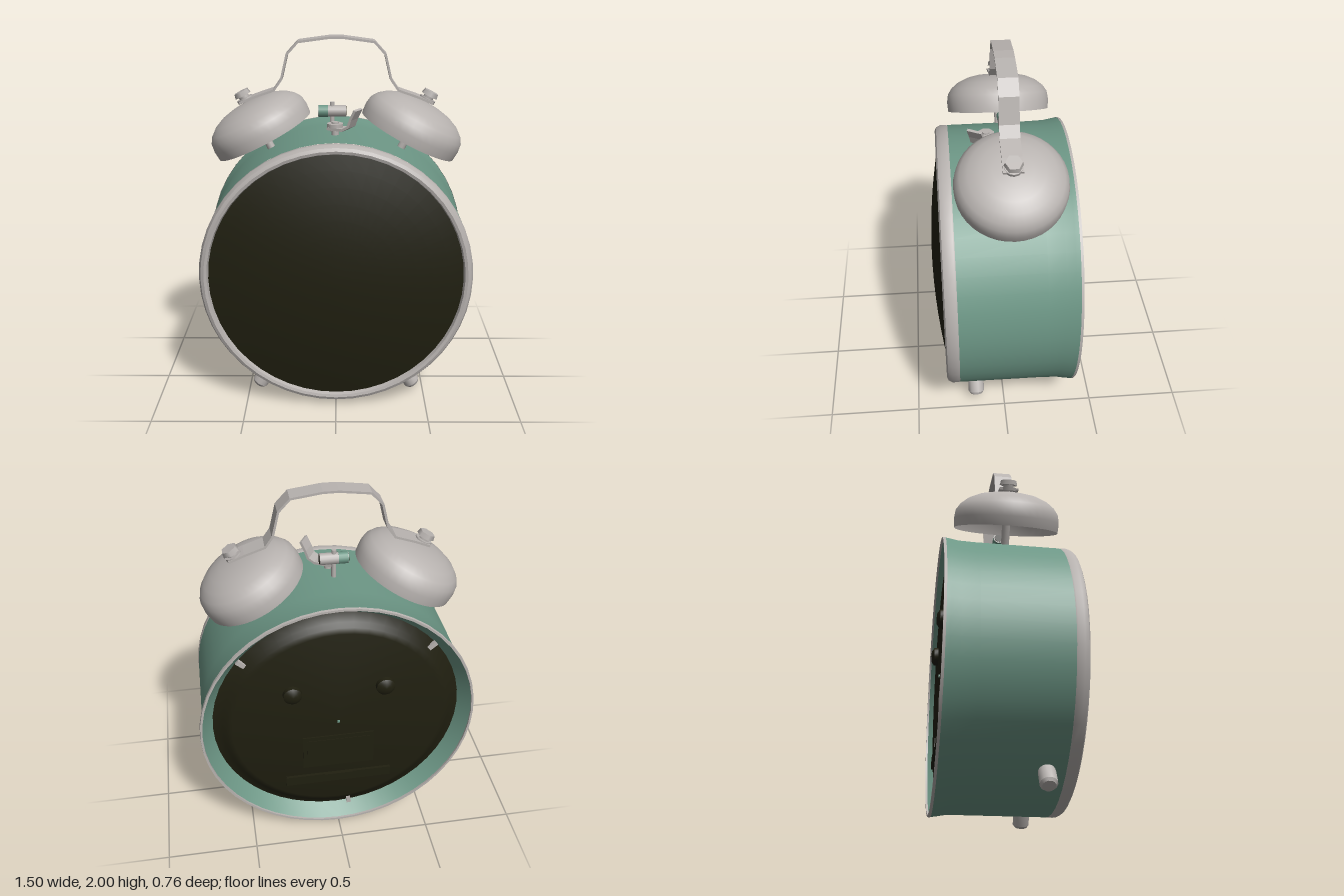
import * as THREE from 'three';
import { toCreasedNormals } from 'three/addons/utils/BufferGeometryUtils.js';

const CY = 0.757; // height of the clock's axis
const BELL_Z = -0.035;

export function createModel() {
  const mat = (name, color, side = THREE.FrontSide) => {
    const m = new THREE.MeshStandardMaterial({ color, side });
    m.name = name;
    return m;
  };
  const teal = mat('teal paint', 0x6d9786);
  const metal = mat('pale metal', 0xb8b3b0, THREE.DoubleSide);
  const dark = mat('dark olive', 0x201f10);

  const model = new THREE.Group();
  model.name = 'alarmClock';

  const add = (parent, name, geo, material, x = 0, y = 0, z = 0) => {
    const mesh = new THREE.Mesh(geo, material);
    mesh.name = name;
    mesh.position.set(x, y, z);
    parent.add(mesh);
    return mesh;
  };
  // Lathe about y from [radius, height] pairs, with sharp edges kept
  const lathe = (pts, segs = 48, crease = 0.6) =>
    toCreasedNormals(new THREE.LatheGeometry(pts.map(p => new THREE.Vector2(...p)), segs), crease);
  // Lathe about the clock's front-to-back axis
  const turned = (name, pts, material) =>
    add(model, name, lathe(pts).rotateX(Math.PI / 2), material, 0, CY, 0);
  // Flat strip bent along a path in xy, centred on z
  const strip = (path, width, thick) => {
    const pts = path.map(p => new THREE.Vector2(...p));
    const inner = pts.map((p, i) => {
      const t = pts[Math.min(i + 1, pts.length - 1)].clone().sub(pts[Math.max(i - 1, 0)]).normalize();
      return new THREE.Vector2(p.x + t.y * thick, p.y - t.x * thick);
    });
    const shape = new THREE.Shape([...pts, ...inner.reverse()]);
    return new THREE.ExtrudeGeometry(shape, { depth: width, bevelEnabled: false }).translate(0, 0, -width / 2);
  };

  // Case: drum flaring towards the back, with a sloping inner wall
  turned('caseDrum', [[0.75, -0.365], [0.747, -0.34], [0.738, -0.29], [0.735, -0.2], [0.733, 0.255]], teal);
  turned('caseInnerWall', [[0.68, -0.29], [0.738, -0.365]], teal);
  turned('backRim', [[0.738, -0.36], [0.738, -0.376], [0.75, -0.376], [0.752, -0.362]], metal);

  // Front bezel and domed glass
  turned('bezel', [[0.69, 0.25], [0.727, 0.25], [0.734, 0.262], [0.734, 0.295], [0.722, 0.318],
    [0.705, 0.326], [0.69, 0.322], [0.682, 0.295]], metal);
  const dome = [];
  for (let i = 0; i <= 8; i++) {
    const r = 0.69 * (1 - i / 8);
    dome.push([r, 0.378 - 0.165 * r * r]);
  }
  turned('glassDome', dome, dark);

  // Back plate with a raised centre
  turned('backPlate', [[0, -0.345], [0.58, -0.345], [0.61, -0.335], [0.63, -0.31], [0.685, -0.288]], dark);
  for (const s of [-1, 1]) {
    add(model, 'backKnob', lathe([[0, -0.042], [0.03, -0.039], [0.05, -0.025], [0.052, 0.002]], 16)
      .rotateX(Math.PI / 2), dark, s * 0.25, 0.98, -0.343);
  }
  const box = (name, w, h, d, material, x, y, z) =>
    add(model, name, new THREE.BoxGeometry(w, h, d), material, x, y, z);
  box('batteryDoor', 0.4, 0.22, 0.012, dark, 0, 0.55, -0.346);
  box('batteryDoorPanel', 0.35, 0.17, 0.01, dark, 0, 0.55, -0.35);
  box('backLedge', 0.6, 0.06, 0.02, dark, 0, 0.35, -0.35);
  box('backLatch', 0.16, 0.05, 0.03, dark, 0, 0.355, -0.35);
  box('backPin', 0.014, 0.014, 0.012, teal, 0, CY, -0.345);
  for (const deg of [40, 140, 264]) {
    const a = THREE.MathUtils.degToRad(deg);
    const tab = box('backTab', 0.05, 0.025, 0.02, metal, 0.66 * Math.cos(a), CY + 0.66 * Math.sin(a), -0.305);
    tab.rotation.z = a;
  }

  // Bells with stem and nut, and feet, mirrored left and right
  const bellProfile = [[0.28, 0], [0.284, 0.05], [0.277, 0.095], [0.255, 0.128], [0.215, 0.16],
    [0.16, 0.184], [0.1, 0.197], [0, 0.203]];
  for (const s of [-1, 1]) {
    const bell = new THREE.Group();
    bell.name = s > 0 ? 'leftBell' : 'rightBell';
    bell.position.set(s * 0.39, 1.465, BELL_Z);
    bell.rotation.z = -s * 0.471;
    add(bell, 'bellShell', lathe(bellProfile, 40, 0.9), metal);
    add(bell, 'bellStem', new THREE.CylinderGeometry(0.022, 0.022, 0.32, 12), metal, 0, 0.04, 0);
    add(bell, 'bellWasher', new THREE.CylinderGeometry(0.045, 0.045, 0.018, 12), metal, 0, 0.222, 0);
    add(bell, 'bellBolt', new THREE.CylinderGeometry(0.028, 0.028, 0.05, 12), metal, 0, 0.235, 0);
    add(bell, 'bellNut', new THREE.CylinderGeometry(0.042, 0.048, 0.026, 6), metal, 0, 0.258, 0);
    model.add(bell);

    const foot = new THREE.Group();
    foot.name = s > 0 ? 'leftFoot' : 'rightFoot';
    foot.position.set(0, CY, 0.16);
    foot.rotation.z = s * 0.56;
    add(foot, 'footPeg', lathe([[0, -0.838], [0.034, -0.835], [0.045, -0.82], [0.045, -0.76],
      [0.04, -0.7]], 14), metal);
    model.add(foot);
  }

  // Carrying handle
  const half = [[0.52, 1.655], [0.44, 1.688], [0.335, 1.724], [0.298, 1.777], [0.266, 1.91],
    [0.203, 1.978], [0.04, 2.0]];
  const path = [...half.map(([x, y]) => [-x, y]), ...half.slice().reverse()];
  add(model, 'carryHandle', strip(path, 0.1, 0.012), metal, 0, 0, BELL_Z + 0.002);

  // Hammer between the bells
  const hammer = new THREE.Group();
  hammer.name = 'hammer';
  hammer.position.set(-0.022, 1.6, BELL_Z);
  add(hammer, 'hammerRod', new THREE.CylinderGeometry(0.013, 0.013, 0.17, 10), metal, 0, -0.035, 0);
  const headPart = (name, r, len, material, x) =>
    add(hammer, name, new THREE.CylinderGeometry(r, r, len, 14).rotateZ(Math.PI / 2), material, x);
  headPart('hammerHead', 0.031, 0.15, metal, 0);
  headPart('hammerBand', 0.032, 0.05, teal, -0.048);
  headPart('hammerCore', 0.025, 0.154, dark, 0);
  model.add(hammer);

  // Stop lever in front of the hammer
  const lever = new THREE.Group();
  lever.name = 'stopLever';
  lever.position.set(-0.005, 1.5, 0.06);
  lever.rotation.y = -0.5;
  add(lever, 'leverPost', new THREE.CylinderGeometry(0.02, 0.02, 0.08, 10), metal, 0, 0.02, 0);
  add(lever, 'leverNut', new THREE.CylinderGeometry(0.045, 0.045, 0.02, 8), metal, 0, 0.042, 0);
  add(lever, 'leverBlade', strip([[-0.03, 0.033], [0.06, 0.033], [0.09, 0.05], [0.105, 0.09],
    [0.13, 0.14]], 0.08, 0.014), metal);
  model.add(lever);

  return model;
}
